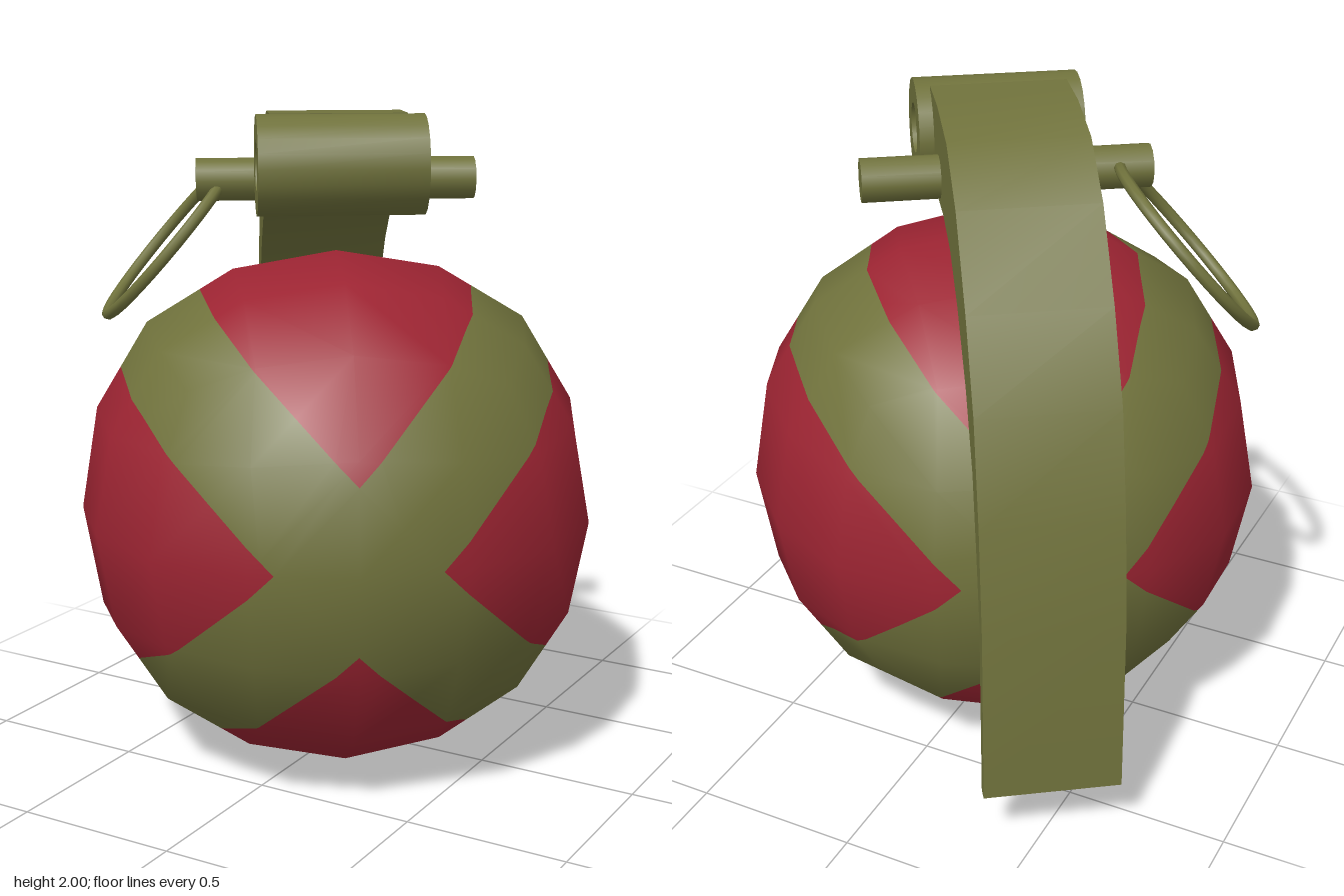
import * as THREE from 'three';
import { toCreasedNormals } from 'three/addons/utils/BufferGeometryUtils.js';

const olive = new THREE.MeshStandardMaterial({ color: 0x70723c });
olive.name = 'olive';
const red = new THREE.MeshStandardMaterial({ color: 0x9c2432 });
red.name = 'red';

// One face of a rounded cube: |i|,|j| on a 4 x 4 grid -> (u, v, height)
const GRID = {
  '00': [0, 0, 0.8785], '10': [0.3505, 0, 0.8195], '11': [0.326, 0.326, 0.764],
  '20': [0.643, 0, 0.643], '21': [0.599, 0.302, 0.599], '22': [0.509, 0.509, 0.509],
};
const BODY_SCALE = 0.8992;

function gridPoint(i, j, [U, V, N]) {
  const a = Math.abs(i), b = Math.abs(j);
  const [big, small, h] = GRID[`${Math.max(a, b)}${Math.min(a, b)}`];
  const u = Math.sign(i) * (a >= b ? big : small);
  const v = Math.sign(j) * (a >= b ? small : big);
  return new THREE.Vector3().addScaledVector(U, u).addScaledVector(V, v)
    .addScaledVector(N, h).multiplyScalar(BODY_SCALE);
}

// Cut a convex polygon by the plane n.p = w into its two sides
function splitPolygon(poly, n, w) {
  const above = [], below = [];
  poly.forEach((p, k) => {
    const q = poly[(k + 1) % poly.length];
    const dp = n.dot(p) - w, dq = n.dot(q) - w;
    if (dp >= 0) above.push(p);
    if (dp <= 0) below.push(p);
    if (dp * dq < 0) {
      const m = p.clone().lerp(q, dp / (dp - dq));
      above.push(m);
      below.push(m);
    }
  });
  return [above, below].filter((s) => s.length > 2);
}

function surface(polys) {
  const pos = [], nor = [];
  for (const poly of polys) {
    for (let k = 1; k < poly.length - 1; k++) {
      for (const p of [poly[0], poly[k], poly[k + 1]]) {
        pos.push(p.x, p.y, p.z);
        nor.push(...p.clone().normalize().toArray());
      }
    }
  }
  const g = new THREE.BufferGeometry();
  g.setAttribute('position', new THREE.Float32BufferAttribute(pos, 3));
  g.setAttribute('normal', new THREE.Float32BufferAttribute(nor, 3));
  return g;
}

// Round body, divided into two crossing bands and the panels between them
function createBody() {
  const X = new THREE.Vector3(1, 0, 0), Y = new THREE.Vector3(0, 1, 0), Z = new THREE.Vector3(0, 0, 1);
  const axes = [];
  for (const [U, V, N] of [[X, Y, Z], [Y, Z, X], [Z, X, Y]]) {
    axes.push([U, V, N], [V, U, N.clone().negate()]);
  }
  let polys = [];
  for (const ax of axes) {
    for (let i = -2; i < 2; i++) {
      for (let j = -2; j < 2; j++) {
        const a = gridPoint(i, j, ax), b = gridPoint(i + 1, j, ax);
        const c = gridPoint(i + 1, j + 1, ax), d = gridPoint(i, j + 1, ax);
        polys.push([a, b, c], [a, c, d]);
      }
    }
  }
  const tilt = THREE.MathUtils.degToRad(46), half = 0.17;
  const normals = [1, -1].map((s) => new THREE.Vector3(s * Math.sin(tilt), Math.cos(tilt), 0));
  for (const n of normals) {
    for (const w of [half, -half]) polys = polys.flatMap((p) => splitPolygon(p, n, w));
  }
  const inBand = (poly) => {
    const c = poly.reduce((s, p) => s.add(p), new THREE.Vector3()).divideScalar(poly.length);
    return normals.some((n) => Math.abs(n.dot(c)) < half);
  };
  const body = new THREE.Group();
  body.name = 'body';
  addPart(body, 'crossBands', surface(polys.filter(inBand)), olive);
  addPart(body, 'panels', surface(polys.filter((p) => !inBand(p))), red);
  body.position.y = 0.79;
  return body;
}

function addPart(parent, name, geometry, material) {
  const mesh = new THREE.Mesh(geometry, material);
  mesh.name = name;
  parent.add(mesh);
  return mesh;
}

export function createModel() {
  const model = new THREE.Group();
  model.name = 'model';
  const core = new THREE.Group();
  core.name = 'assembly';
  core.rotation.y = THREE.MathUtils.degToRad(35);
  core.position.z = 0.0475;
  model.add(core);
  core.add(createBody());

  // Barrel-shaped head with a recess and a stud in each end
  const h = 0.247;
  const end = [[0, h - 0.01], [0.04, h - 0.01], [0.04, h - 0.05], [0.075, h - 0.05], [0.075, h], [0.148, h]];
  const profile = [...end.map(([r, y]) => [r, -y]), ...end.slice().reverse()]
    .map(([r, y]) => new THREE.Vector2(r, y));
  const headGeo = toCreasedNormals(new THREE.LatheGeometry(profile, 20), 0.6);
  const head = addPart(core, 'head', headGeo, olive);
  head.rotation.z = Math.PI / 2;
  head.position.set(0, 1.852, 0.157);

  // Cross pin
  const pin = addPart(core, 'pin', new THREE.CylinderGeometry(0.065, 0.065, 0.853, 12), olive);
  pin.rotation.z = Math.PI / 2;
  pin.position.set(0.006, 1.788, -0.09);

  // Curved lever: thick at the head, thin at the tail
  const outer = [[0.1, 1.998], [-0.08, 1.995], [-0.28, 1.955], [-0.464, 1.83], [-0.65, 1.603],
    [-0.794, 1.365], [-0.88, 1.07], [-0.935, 0.746], [-0.955, 0.2]];
  const inner = [[-0.916, 0.2], [-0.885, 0.757], [-0.835, 0.95], [-0.765, 1.18], [-0.64, 1.38],
    [-0.48, 1.55], [-0.33, 1.66], [-0.18, 1.705], [0.1, 1.72]];
  const shape = new THREE.Shape([...outer, ...inner].map(([z, y]) => new THREE.Vector2(z, y)));
  const leverGeo = new THREE.ExtrudeGeometry(shape, { depth: 0.408, bevelEnabled: false });
  leverGeo.rotateY(-Math.PI / 2).translate(0.204, 0, 0);
  addPart(core, 'lever', toCreasedNormals(leverGeo, 0.5), olive);

  // Pull ring hanging from the pin
  const ring = addPart(core, 'pullRing', new THREE.TorusGeometry(0.303, 0.018, 8, 32), olive);
  ring.position.set(-0.508, 1.587, -0.237);
  ring.quaternion.setFromUnitVectors(
    new THREE.Vector3(0, 0, 1), new THREE.Vector3(-0.757, 0.653, 0).normalize());

  return model;
}
